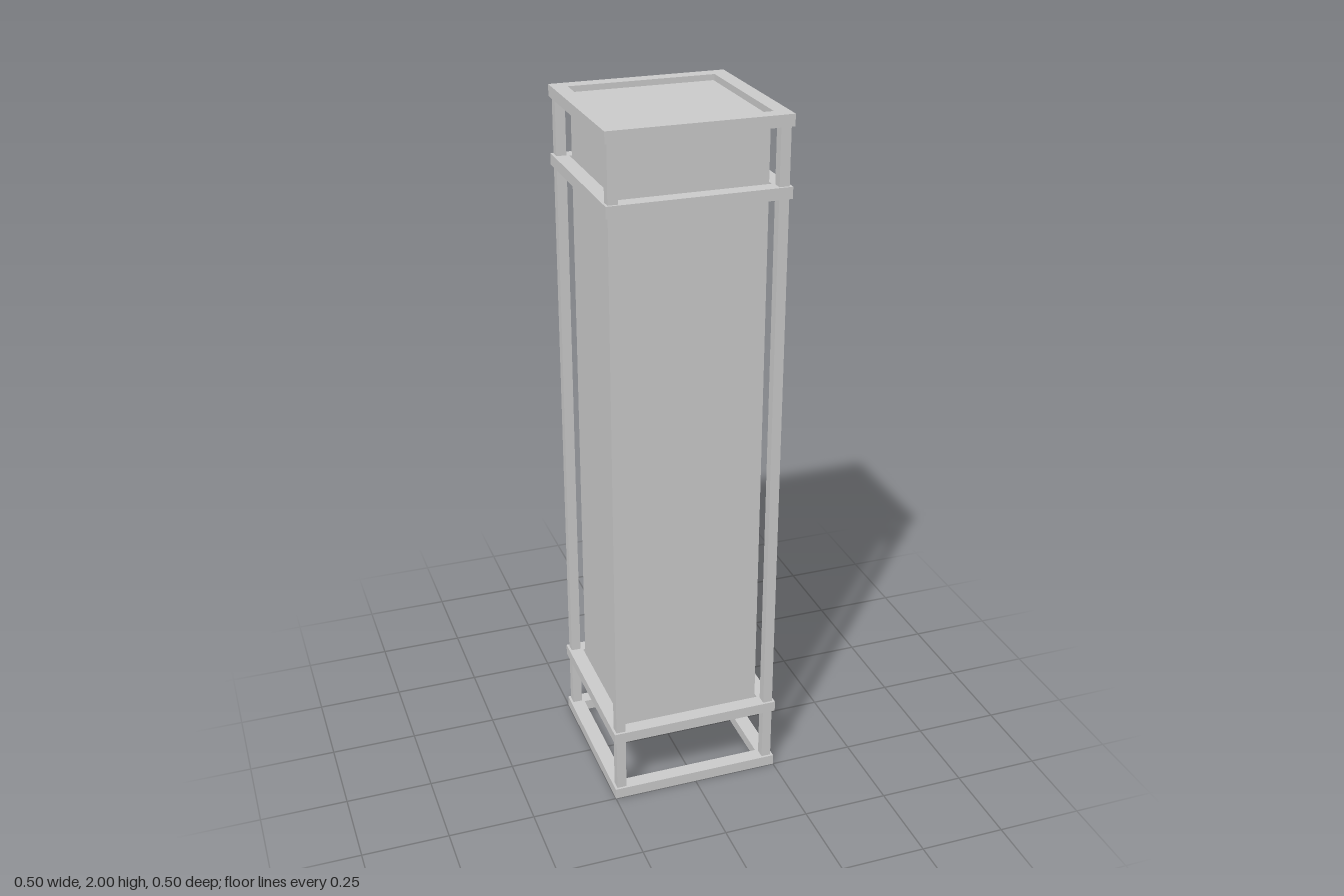
import * as THREE from 'three';

export function createModel() {
  const model = new THREE.Group();
  model.name = 'boxLantern';
  const material = new THREE.MeshStandardMaterial({ color: 0xcccccc, flatShading: true });

  const add = (name, geometry, x, y, z) => {
    const mesh = new THREE.Mesh(geometry, material);
    mesh.name = name;
    mesh.position.set(x, y, z);
    model.add(mesh);
  };

  const outer = 0.25, inner = 0.208, barHeight = 0.032;

  // Square frame rings: a square with a square hole, laid flat
  const square = (path, r) => path.moveTo(-r, -r).lineTo(r, -r).lineTo(r, r).lineTo(-r, r).closePath();
  const ringShape = square(new THREE.Shape(), outer);
  ringShape.holes.push(square(new THREE.Path(), inner));
  const ring = new THREE.ExtrudeGeometry(ringShape, { depth: barHeight, bevelEnabled: false });
  ring.rotateX(-Math.PI / 2);
  const rings = { bottomFrame: 0, lowerFrame: 0.196, upperFrame: 1.78, topFrame: 2 - barHeight };
  for (const [name, y] of Object.entries(rings)) add(name, ring, 0, y, 0);

  // Corner posts, ending inside the bottom and top frames
  const postHeight = 2 - barHeight;
  const post = new THREE.BoxGeometry(0.028, postHeight, 0.028);
  const c = (outer + inner) / 2;
  for (const x of [-c, c]) for (const z of [-c, c]) add('cornerPost', post, x, 1, z);

  // Closed body, slightly recessed in the top and lower frames
  const bodyBottom = 0.212, bodyTop = 1.985;
  add('body', new THREE.BoxGeometry(0.406, bodyTop - bodyBottom, 0.406), 0, (bodyTop + bodyBottom) / 2, 0);

  return model;
}
